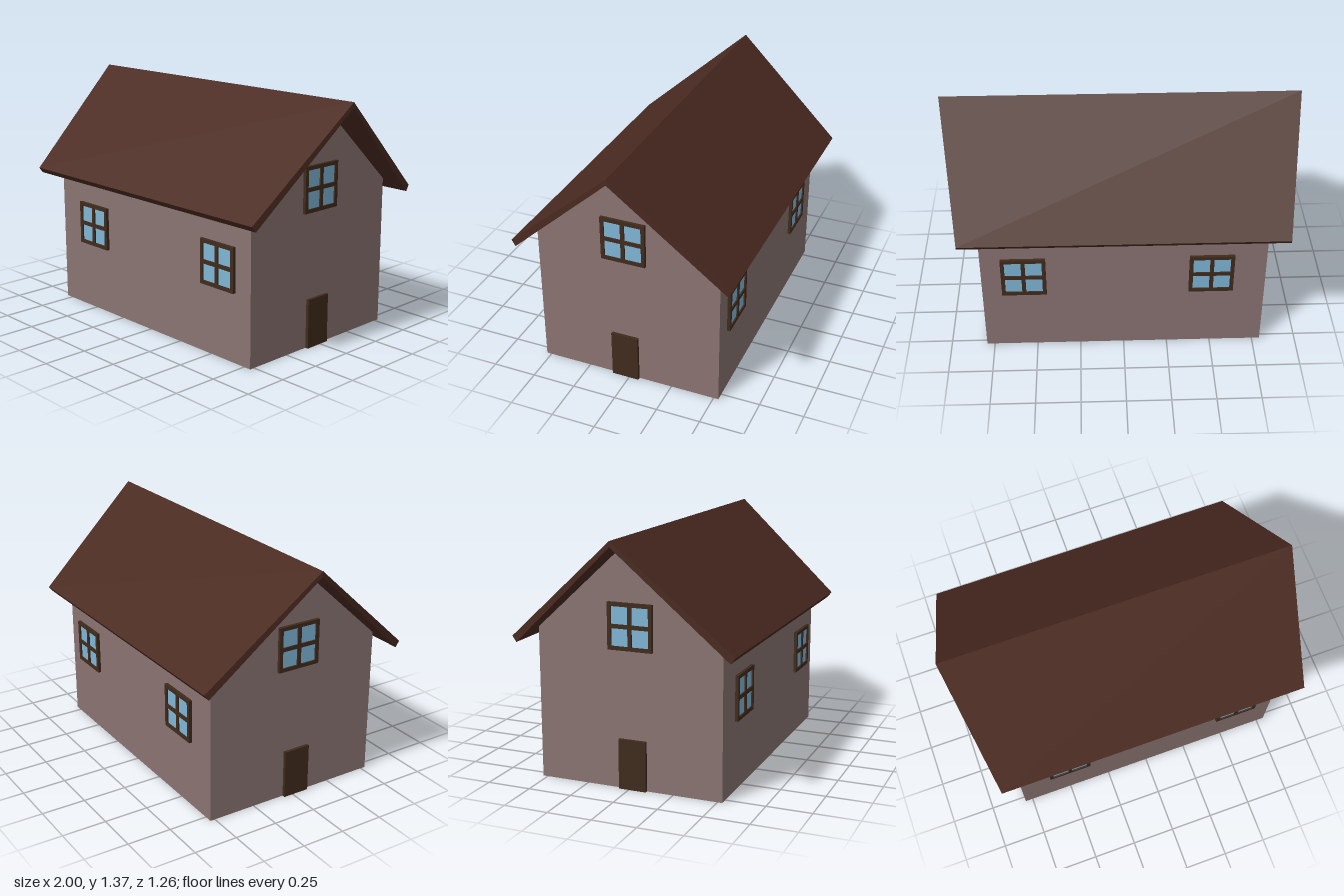
import * as THREE from 'three';

const mat = (color) => new THREE.MeshStandardMaterial({ color, flatShading: true });
const wallMat = mat(0x8a7472);
const roofMat = mat(0x4a2a20);
const woodMat = mat(0x402b1c);
const glassMat = mat(0x7fb6d6);

const WALL_X = 0.795, WALL_Z = 0.528; // half sizes of the walls
const PROUD = 0.018; // how far doors and windows stand out

function mesh(name, geometry, material) {
  const m = new THREE.Mesh(geometry, material);
  m.name = name;
  return m;
}

const polygon = (points) => new THREE.Shape(points.map(([x, y]) => new THREE.Vector2(x, y)));

// Extrudes a (z, y) profile along x, centred on x = 0
function extrudeAlongX(points, length) {
  const g = new THREE.ExtrudeGeometry(polygon(points), { depth: length, bevelEnabled: false });
  return g.translate(0, 0, -length / 2).rotateY(Math.PI / 2);
}

// One roof slope, its ends running out towards the ridge
function roofSlope() {
  const g = extrudeAlongX([[0, 1.335], [0.605, 0.778], [0.63, 0.81], [0, 1.366]], 2);
  const p = g.attributes.position;
  for (let i = 0; i < p.count; i++) {
    p.setX(i, p.getX(i) * (1 - 0.16 * Math.abs(p.getZ(i))));
  }
  g.computeVertexNormals();
  return g;
}

// Square four-pane window facing +z, centred on its origin
function makeWindow(name, size) {
  const group = new THREE.Group();
  group.name = name;
  const h = size / 2, bar = 0.011, inner = h - 0.021;
  const rect = (x0, y0, x1, y1) => [[x0, y0], [x1, y0], [x1, y1], [x0, y1]];
  const shape = polygon(rect(-h, -h, h, h));
  for (const [x0, x1] of [[-inner, -bar], [bar, inner]]) {
    for (const [y0, y1] of [[-inner, -bar], [bar, inner]]) {
      shape.holes.push(polygon(rect(x0, y0, x1, y1)));
    }
  }
  const frame = new THREE.ExtrudeGeometry(shape, { depth: PROUD, bevelEnabled: false });
  group.add(mesh('windowFrame', frame, woodMat));
  const glass = mesh('windowGlass', new THREE.BoxGeometry(2 * inner, 2 * inner, 0.01), glassMat);
  glass.position.z = 0.005;
  group.add(glass);
  return group;
}

export function createModel() {
  const house = new THREE.Group();
  house.name = 'house';

  // Walls with gables
  const profile = [[-WALL_Z, 0], [WALL_Z, 0], [WALL_Z, 0.847], [0, 1.334], [-WALL_Z, 0.847]];
  house.add(mesh('walls', extrudeAlongX(profile, 2 * WALL_X), wallMat));

  // Roof
  const backRoof = mesh('backRoof', roofSlope(), roofMat);
  const frontRoof = mesh('frontRoof', backRoof.geometry, roofMat);
  frontRoof.rotation.y = Math.PI;
  house.add(backRoof, frontRoof);

  // Two windows on each long wall
  for (const side of [1, -1]) {
    for (const x of [-0.49, 0.558]) {
      const w = makeWindow(side > 0 ? 'frontWindow' : 'backWindow', 0.25);
      w.position.set(x, 0.514, side * WALL_Z);
      w.rotation.y = side > 0 ? 0 : Math.PI;
      house.add(w);
    }
  }

  // A window and a door on each gable wall
  for (const side of [1, -1]) {
    const label = side > 0 ? 'left' : 'right';
    const w = makeWindow(label + 'GableWindow', 0.254);
    w.position.set(side * WALL_X, 0.891, 0.015);
    w.rotation.y = side * Math.PI / 2;
    const door = mesh(label + 'Door', new THREE.BoxGeometry(PROUD, 0.278, 0.157), woodMat);
    door.position.set(side * (WALL_X + PROUD / 2), 0.139, 0.022);
    house.add(w, door);
  }
  return house;
}
